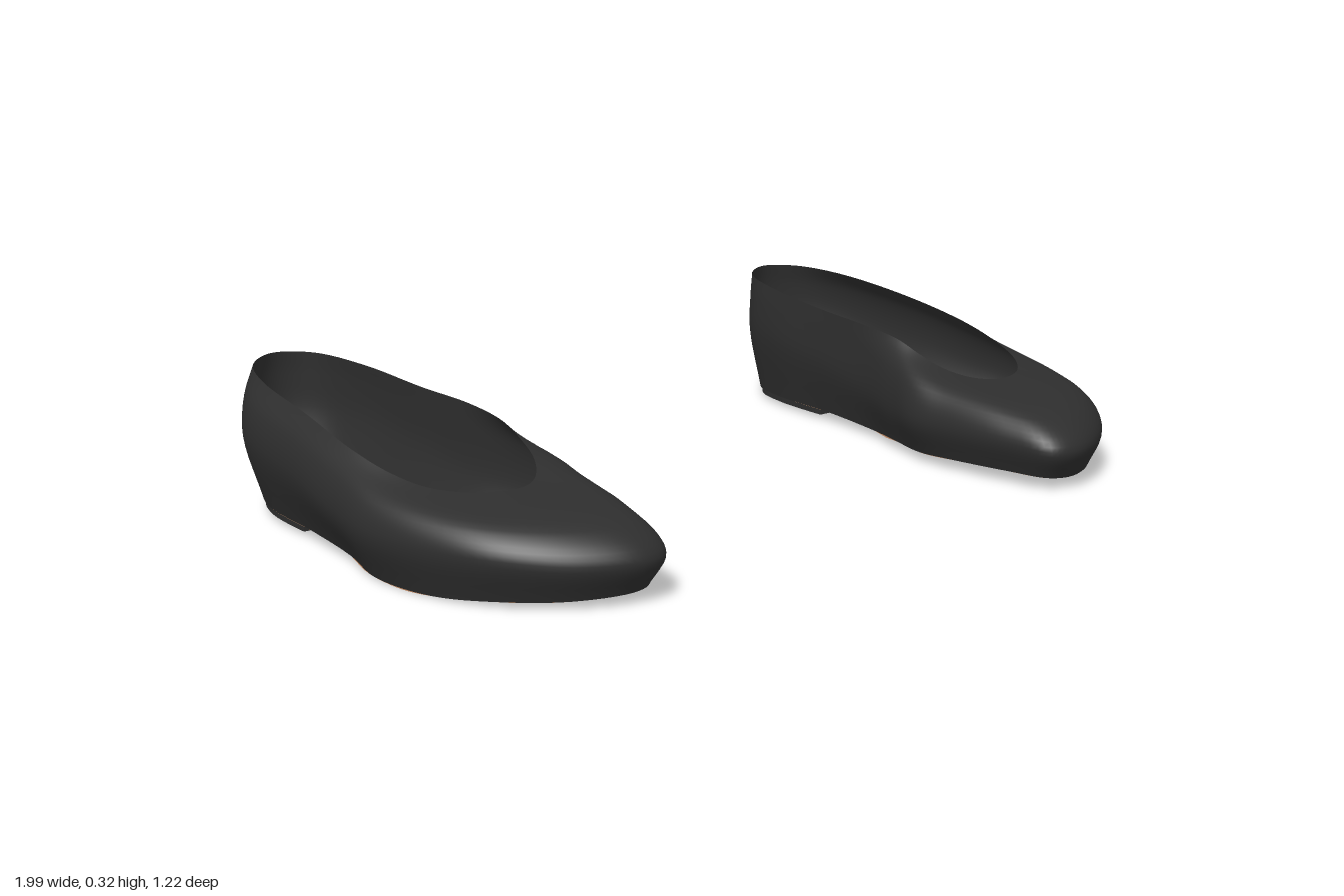
import * as THREE from 'three';

const leather = new THREE.MeshStandardMaterial({ color: 0x2e2e2e, side: THREE.DoubleSide });
leather.name = 'black leather';
const tan = new THREE.MeshStandardMaterial({ color: 0xab7a58, side: THREE.DoubleSide });
tan.name = 'tan sole';

const { lerp, smoothstep } = THREE.MathUtils;
const HEEL_FRONT = -0.255;

// Outlines run from the back of the heel, round the outer side, the toe and the inner side.
// Widest outline of the upper: x, z
const bulge = [
  [.75, -.612], [.86, -.55], [.925, -.44], [.955, -.22], [.978, -.04], [.995, .11], [.965, .28],
  [.90, .43], [.78, .55], [.65, .605], [.575, .585], [.54, .48], [.515, .30], [.507, .19],
  [.54, .09], [.582, -.05], [.60, -.22], [.615, -.42], [.66, -.55],
];
// Edge of the sole: x, z
const welt = [
  [.75, -.575], [.83, -.53], [.885, -.42], [.91, -.22], [.93, -.03], [.955, .10], [.935, .27],
  [.875, .41], [.77, .52], [.65, .572], [.595, .555], [.565, .46], [.545, .30], [.545, .19],
  [.57, .09], [.61, -.03], [.63, -.22], [.645, -.42], [.68, -.53],
];
// Edge of the foot opening: x, y, z
const rim = [
  [.75, .33, -.60], [.83, .326, -.555], [.88, .315, -.44], [.907, .288, -.22], [.92, .252, -.03],
  [.907, .225, .09], [.875, .207, .18], [.82, .20, .245], [.77, .20, .277], [.72, .20, .287],
  [.68, .202, .275], [.64, .21, .24], [.61, .227, .19], [.597, .25, .13], [.592, .275, .06],
  [.592, .29, -.06], [.605, .298, -.22], [.625, .315, -.42], [.67, .326, -.555],
];

// Height of the sole: curved along its length, tilted across the ball of the foot
const soleKeys = [[-.7, .03], [-.2, .03], [-.1, .028], [.05, .01], [.2, .004], [.4, .013], [.7, .013]];
function soleY(x, z) {
  const k = soleKeys.findIndex(([kz]) => kz > z);
  const [z0, y0] = soleKeys[k - 1], [z1, y1] = soleKeys[k];
  return lerp(y0, y1, smoothstep(z, z0, z1)) + (.97 - x) * .055 * smoothstep(z, -.1, .15);
}

const ring = (points) => new THREE.CatmullRomCurve3(points, true, 'centripetal');
const weltPoints = welt.map(([x, z]) => new THREE.Vector3(x, soleY(x, z), z));
const bulgePoints = bulge.map(([x, z]) => {
  const y = lerp(.18, .115, smoothstep(z, -.45, .1)) - .012 * smoothstep(z, .4, .6);
  return new THREE.Vector3(x, y, z);
});
const rimPoints = rim.map((p) => new THREE.Vector3(...p));
const shoulderPoints = bulgePoints.map((b, i) => {
  const r = rimPoints[i];
  return new THREE.Vector3(lerp(b.x, r.x, .22), lerp(b.y, r.y, .62), lerp(b.z, r.z, .22));
});
const weltRing = ring(weltPoints);
const rings = [weltRing, ring(bulgePoints), ring(shoulderPoints), ring(rimPoints)];

// Surface from a grid of points; side -1 mirrors it
function gridGeometry(rows, side, closed) {
  const n = rows[0].length, position = [], index = [];
  rows.flat().forEach((p) => position.push(p.x * side, p.y, p.z));
  for (let j = 0; j < rows.length - 1; j++) {
    for (let i = 0; i < (closed ? n : n - 1); i++) {
      const a = j * n + i, b = j * n + (i + 1) % n, c = a + n, d = b + n;
      if (side > 0) index.push(a, c, b, b, c, d);
      else index.push(a, b, c, b, d, c);
    }
  }
  const geometry = new THREE.BufferGeometry();
  geometry.setAttribute('position', new THREE.Float32BufferAttribute(position, 3));
  geometry.setIndex(index);
  geometry.computeVertexNormals();
  return geometry;
}

// Upper: lofted from the sole edge over the bulge to the opening
function upperGeometry(side) {
  const columns = 114, steps = 18;
  const rows = Array.from({ length: steps + 1 }, () => []);
  for (let i = 0; i < columns; i++) {
    const rib = new THREE.CatmullRomCurve3(rings.map((r) => r.getPoint(i / columns)));
    rows.forEach((row, j) => row.push(rib.getPoint(j / steps)));
  }
  return gridGeometry(rows, side, true);
}

// Sole: strips across the shoe between matching edge points
function soleGeometry(side) {
  const rows = [];
  for (let k = 0; k <= 57; k++) {
    const a = weltRing.getPoint(k / 114), b = weltRing.getPoint((1 - k / 114) % 1);
    rows.push(Array.from({ length: 9 }, (_, i) => {
      const p = b.clone().lerp(a, i / 8);
      p.y = soleY(p.x, p.z);
      return p;
    }));
  }
  return gridGeometry(rows, side, false);
}

// Heel pad: the rear of the sole outline, slightly inset, showing inside and underneath
function heelGeometry(side) {
  const outline = [];
  for (let k = -60; k <= 60; k++) {
    const p = weltRing.getPoint((k / 300 + 1) % 1);
    if (p.z > HEEL_FRONT) continue;
    outline.push(new THREE.Vector2(lerp(.768, p.x, .97) * side, -lerp(HEEL_FRONT, p.z, .98)));
  }
  const ends = [outline[0], outline[outline.length - 1]];
  ends.forEach((p) => { p.y = -HEEL_FRONT; });
  const geometry = new THREE.ExtrudeGeometry(new THREE.Shape(outline), { depth: .026, bevelEnabled: false });
  return geometry.rotateX(-Math.PI / 2).translate(0, .015, 0);
}

function createShoe(side) {
  const shoe = new THREE.Group();
  shoe.name = side > 0 ? 'leftShoe' : 'rightShoe';
  const add = (name, geometry, material) => {
    const mesh = new THREE.Mesh(geometry, material);
    mesh.name = name;
    shoe.add(mesh);
  };
  add('upper', upperGeometry(side), leather);
  add('sole', soleGeometry(side), tan);
  add('heelPad', heelGeometry(side), leather);
  return shoe;
}

export function createModel() {
  const model = new THREE.Group();
  model.name = 'pairOfFlatShoes';
  model.add(createShoe(1), createShoe(-1));
  return model;
}
